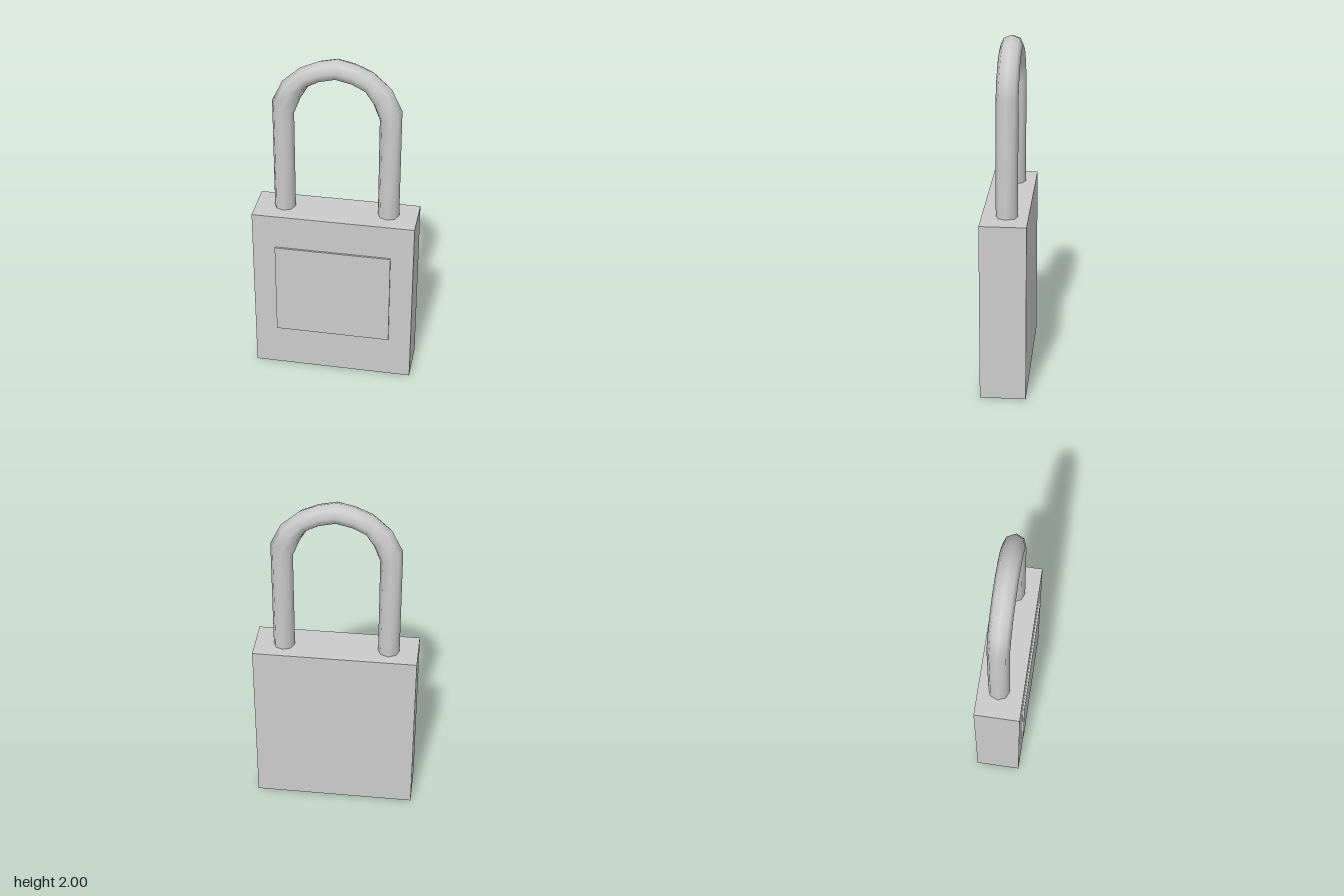
import * as THREE from 'three';

const material = new THREE.MeshStandardMaterial({ color: 0xcccccc, side: THREE.DoubleSide });

function addBox(group, name, [x0, x1], [y0, y1], [z0, z1]) {
  const mesh = new THREE.Mesh(new THREE.BoxGeometry(x1 - x0, y1 - y0, z1 - z0), material);
  mesh.position.set((x0 + x1) / 2, (y0 + y1) / 2, (z0 + z1) / 2);
  mesh.name = name;
  group.add(mesh);
}

// Eight-sided bar swept through mitred rings, each given by its outer and inner edge
function shackleGeometry(radius, sides) {
  const half = [
    [0.363, 1.04, 0.24, 1.04],
    [0.363, 1.722, 0.24, 1.654],
    [0.302, 1.846, 0.203, 1.749],
    [0.201, 1.934, 0.159, 1.823],
    [0.1, 1.978, 0.09, 1.86],
  ];
  const mirrored = half.map(([ox, oy, ix, iy]) => [-ox, oy, -ix, iy]).reverse();
  const rings = [...half, [0, 2, 0, 1.881], ...mirrored];

  const positions = [];
  const indices = [];
  rings.forEach(([ox, oy, ix, iy], r) => {
    for (let s = 0; s < sides; s++) {
      const a = (s / sides) * Math.PI * 2;
      const k = (1 + Math.cos(a)) / 2;
      positions.push(ix + (ox - ix) * k, iy + (oy - iy) * k, Math.sin(a) * radius);
      if (r === 0) continue;
      const next = (s + 1) % sides;
      const p = (r - 1) * sides;
      const q = r * sides;
      indices.push(p + s, q + s, p + next, p + next, q + s, q + next);
    }
  });
  const geometry = new THREE.BufferGeometry();
  geometry.setAttribute('position', new THREE.Float32BufferAttribute(positions, 3));
  // Wind the faces outwards
  for (let i = 0; i < indices.length; i += 3) {
    [indices[i + 1], indices[i + 2]] = [indices[i + 2], indices[i + 1]];
  }
  geometry.setIndex(indices);
  geometry.computeVertexNormals();
  return geometry;
}

export function createModel() {
  const group = new THREE.Group();
  group.name = 'padlock';

  // Solid case with a thin raised plate on the front
  addBox(group, 'body', [-0.47, 0.47], [0, 1.047], [-0.137, 0.125]);
  addBox(group, 'frontPlate', [-0.338, 0.338], [0.26, 0.84], [0.12, 0.136]);

  // Bent bar rising from the top of the case
  const shackle = new THREE.Mesh(shackleGeometry(0.062, 8), material);
  shackle.position.z = -0.016;
  shackle.name = 'shackle';
  group.add(shackle);

  return group;
}
